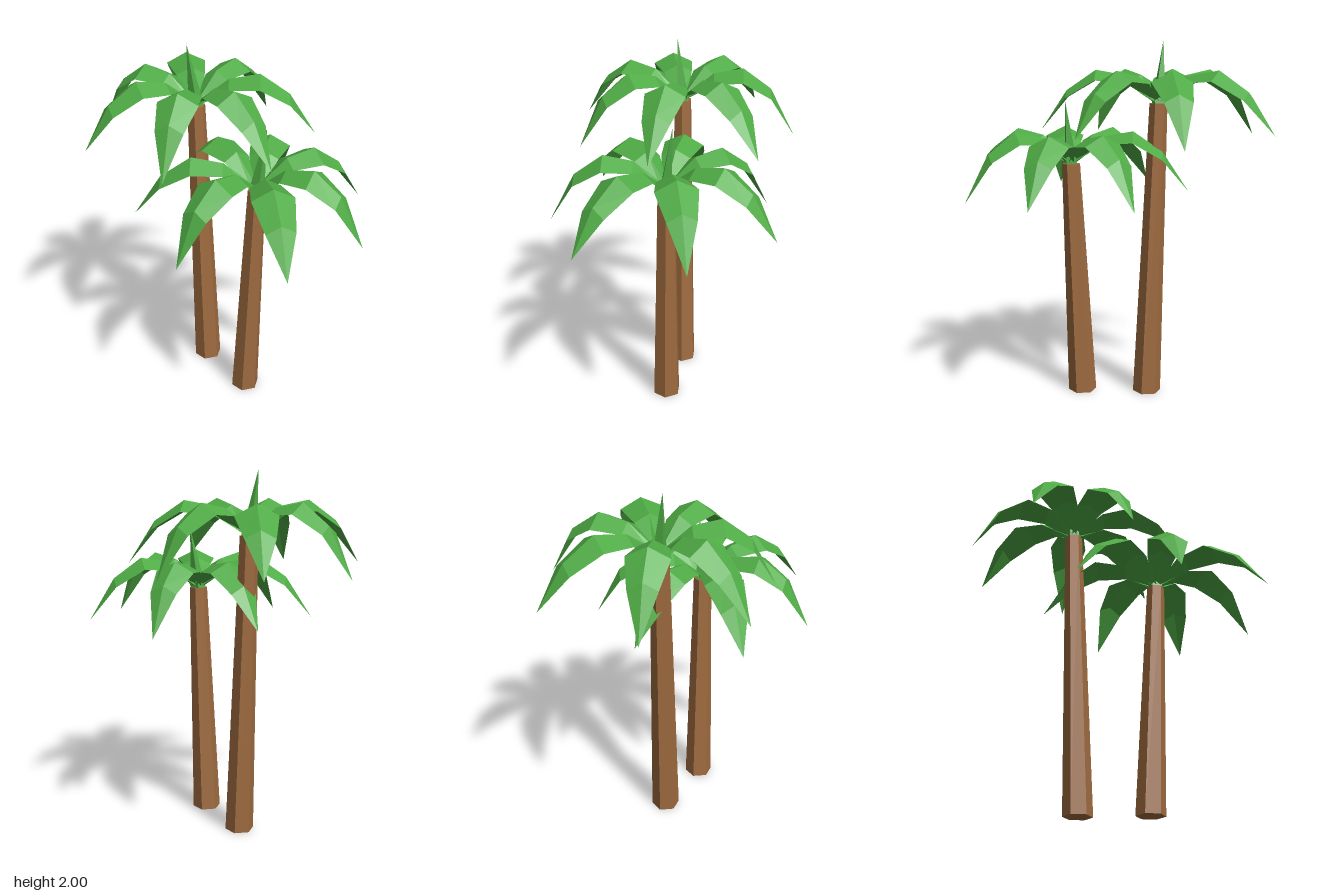
import * as THREE from 'three';

const bark = new THREE.MeshStandardMaterial({ color: 0xa06c40, flatShading: true });
const leaf = new THREE.MeshStandardMaterial({ color: 0x4fab45, flatShading: true, side: THREE.DoubleSide });

// Fronds in order around the crown: [reach, tip height above the trunk top]
const FRONDS = [
  [0.65, -0.15], [0.60, -0.19], [0.63, -0.16], [0.60, -0.19],
  [0.67, -0.15], [0.62, -0.195], [0.65, -0.155],
];

// Frond sections: [distance, rib height, half width, drop of the edges]
const SECTIONS = [
  [0.02, 0.03, 0.025, 0.02],
  [0.17, 0.15, 0.08, 0.04],
  [0.33, 0.18, 0.11, 0.055],
  [0.485, 0.07, 0.075, 0.04],
];

// Folded frond pointing along +x: left edge, rib and right edge per section, then the tip
function frondGeometry(reach, tipY) {
  const positions = [], index = [];
  const k = reach / 0.625;
  for (const [d, y, w, drop] of SECTIONS) {
    positions.push(d * k, y - drop, -w, d * k, y, 0, d * k, y - drop, w);
  }
  positions.push(reach, tipY, 0);
  const tip = SECTIONS.length * 3;
  for (let s = 0; s < SECTIONS.length; s++) {
    for (let side = 0; side < 2; side++) {
      const a = s * 3 + side, b = a + 1;
      if (s === SECTIONS.length - 1) index.push(a, b, tip);
      else index.push(a, b, b + 3, a, b + 3, a + 3);
    }
  }
  const g = new THREE.BufferGeometry();
  g.setAttribute('position', new THREE.Float32BufferAttribute(positions, 3));
  g.setIndex(index);
  g.computeVertexNormals();
  return g;
}

// Slides each vertex sideways in proportion to its height
function lean(g, height, dx, dz) {
  const p = g.attributes.position;
  for (let i = 0; i < p.count; i++) {
    const t = p.getY(i) / height;
    p.setX(i, p.getX(i) + dx * t);
    p.setZ(i, p.getZ(i) + dz * t);
  }
  g.computeVertexNormals();
  return g;
}

function palm(name, height) {
  const tree = new THREE.Group();
  tree.name = name;

  // Tapered, leaning six-sided trunk
  const trunkGeo = new THREE.CylinderGeometry(0.05, 0.08, height, 6);
  trunkGeo.rotateY(Math.PI / 6).translate(0, height / 2, 0);
  const trunk = new THREE.Mesh(lean(trunkGeo, height, -0.055, 0.01), bark);
  trunk.name = 'trunk';
  trunk.position.set(-0.185, 0, -0.03);
  tree.add(trunk);

  // Crown of arching fronds
  const crown = new THREE.Group();
  crown.name = 'crown';
  crown.position.set(-0.24, height, -0.02);
  FRONDS.forEach(([reach, tipY], i) => {
    const frond = new THREE.Mesh(frondGeometry(reach, tipY), leaf);
    frond.name = 'frond' + (i + 1);
    frond.rotation.y = -(10.2 + i * 360 / 7) * Math.PI / 180;
    crown.add(frond);
  });

  // Young shoot standing in the middle
  const shootGeo = new THREE.ConeGeometry(0.042, 0.34, 4);
  shootGeo.rotateY(Math.PI / 4 + 0.12).translate(0, 0.17, 0);
  const shoot = new THREE.Mesh(lean(shootGeo, 0.34, -0.03, 0.035), leaf);
  shoot.name = 'shoot';
  crown.add(shoot);

  tree.add(crown);
  return tree;
}

export function createModel() {
  const model = new THREE.Group();
  model.name = 'palmTrees';
  const tall = palm('tallPalm', 1.66);
  const short = palm('shortPalm', 1.33);
  short.rotation.y = Math.PI;
  model.add(tall, short);
  return model;
}
